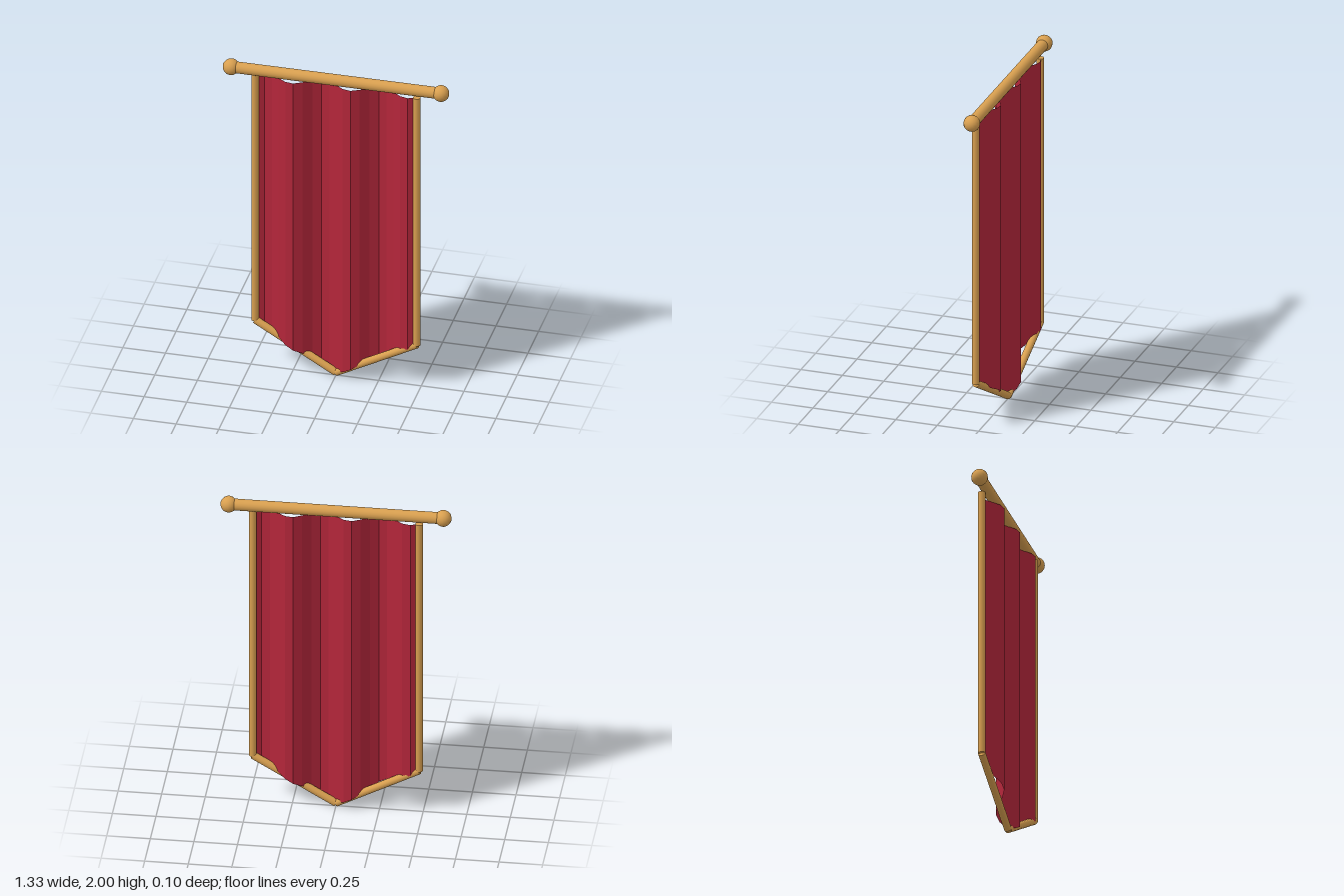
import * as THREE from 'three';

const HALF = 0.48, TOP = 1.92, SIDE = 0.285, TIP = 0.02, ROD_Y = 1.952;

// depth of the cloth folds across the width
const fold = (x) => 0.046 * Math.sin(18.5 * x);
// pointed lower edge
const hem = (x) => TIP + (SIDE - TIP) * Math.abs(x) / HALF;

export function createModel() {
  const group = new THREE.Group();
  group.name = 'hangingBanner';
  const red = new THREE.MeshStandardMaterial({ color: 0xb3263a, flatShading: true, side: THREE.DoubleSide });
  red.name = 'red cloth';
  const gold = new THREE.MeshStandardMaterial({ color: 0xd9a050 });
  gold.name = 'gold';

  const add = (name, geometry, material) => {
    const mesh = new THREE.Mesh(geometry, material);
    mesh.name = name;
    group.add(mesh);
    return mesh;
  };

  // round bar between two points
  const bar = (name, a, b, radius, sides) => {
    const dir = b.clone().sub(a);
    const mesh = add(name, new THREE.CylinderGeometry(radius, radius, dir.length(), sides), gold);
    mesh.position.copy(a).add(b).multiplyScalar(0.5);
    mesh.quaternion.setFromUnitVectors(new THREE.Vector3(0, 1, 0), dir.normalize());
  };

  // pleated cloth with a pointed hem
  const cloth = new THREE.PlaneGeometry(HALF * 2, 1, 20, 1);
  const pos = cloth.attributes.position;
  for (let i = 0; i < pos.count; i++) {
    const x = pos.getX(i);
    pos.setY(i, pos.getY(i) > 0 ? TOP : hem(x));
    pos.setZ(i, fold(x));
  }
  cloth.computeVertexNormals();
  add('cloth', cloth, red);

  // crossbar
  bar('crossbar', new THREE.Vector3(-0.615, ROD_Y, 0), new THREE.Vector3(0.615, ROD_Y, 0), 0.034, 16);

  // end knobs and edge trim on both sides
  for (const [side, s] of [['left', 1], ['right', -1]]) {
    const knob = add(side + 'Knob', new THREE.SphereGeometry(0.048, 16, 12), gold);
    knob.position.set(s * 0.615, ROD_Y, 0);

    const x = s * HALF;
    const corner = new THREE.Vector3(x, SIDE, fold(x));
    bar(side + 'SideTrim', corner, new THREE.Vector3(x, TOP, fold(x)), 0.022, 12);
    bar(side + 'HemTrim', new THREE.Vector3(0, TIP, 0), corner, 0.022, 12);
  }
  return group;
}
